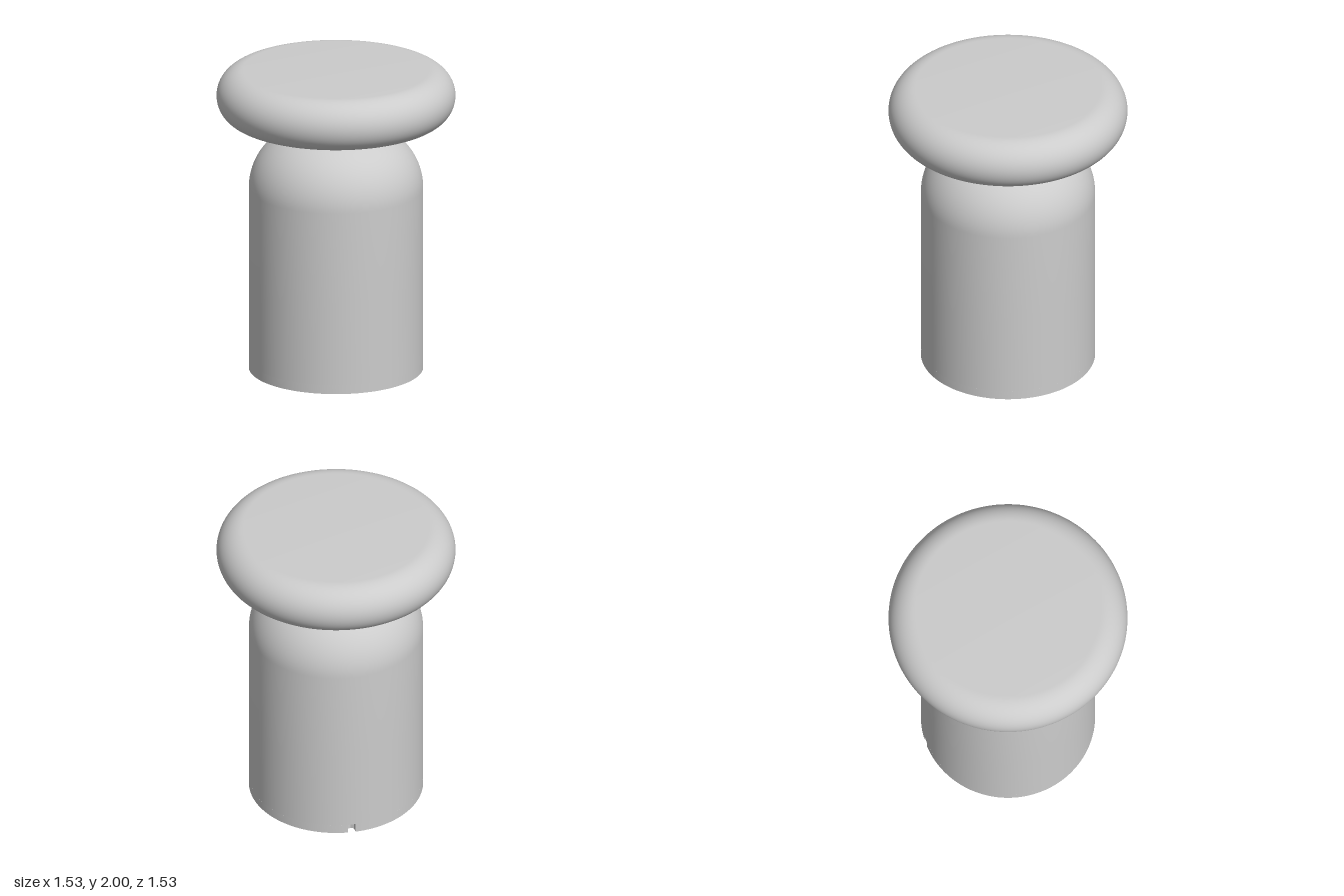
import * as THREE from 'three';
import { toCreasedNormals } from 'three/addons/utils/BufferGeometryUtils.js';

const SEGMENTS = 128;
const material = new THREE.MeshStandardMaterial({ color: 0xcccccc });

// Points along an elliptical arc in the (radius, height) plane.
function arc(cx, cy, rx, ry, from, to, steps) {
  return Array.from({ length: steps + 1 }, (_, i) => {
    const a = from + ((to - from) * i) / steps;
    return new THREE.Vector2(cx + rx * Math.cos(a), cy + ry * Math.sin(a));
  });
}

function part(name, geometry) {
  const mesh = new THREE.Mesh(toCreasedNormals(geometry, 0.5), material);
  mesh.name = name;
  return mesh;
}

const turned = (name, points) => part(name, new THREE.LatheGeometry(points, SEGMENTS));
const v = (x, y) => new THREE.Vector2(x, y);

export function createModel() {
  const group = new THREE.Group();
  group.name = 'tableLamp';

  const bodyRadius = 0.558;
  const footHeight = 0.06;

  // Foot band with a small cable notch at the back
  const notchAngle = THREE.MathUtils.degToRad(77.6);
  const halfGap = 0.045;
  const notchDepth = 0.05;
  const outline = new THREE.Shape();
  outline.absarc(0, 0, bodyRadius, notchAngle + halfGap, notchAngle - halfGap + Math.PI * 2, false);
  for (const side of [-1, 0, 1]) {
    const a = notchAngle + side * halfGap * 0.9;
    const r = bodyRadius - notchDepth * (side === 0 ? 1 : 0.75);
    outline.lineTo(r * Math.cos(a), r * Math.sin(a));
  }
  outline.closePath();
  const foot = new THREE.ExtrudeGeometry(outline, {
    depth: footHeight, bevelEnabled: false, curveSegments: SEGMENTS,
  });
  foot.rotateX(-Math.PI / 2);
  group.add(part('foot', foot));

  // Cylindrical body with a domed shoulder and a flat top
  group.add(turned('body', [
    v(0, footHeight),
    v(bodyRadius, footHeight),
    v(bodyRadius, 0.6),
    ...arc(0.158, 1.212, 0.4, 0.4, 0, Math.PI * 0.47, 24),
    v(0, 1.61),
  ]));

  // Short neck
  const neck = new THREE.CylinderGeometry(0.178, 0.178, 0.09, SEGMENTS);
  neck.translate(0, 1.635, 0);
  group.add(part('neck', neck));

  // Flat disc shade with a fully rounded rim
  group.add(turned('shade', [
    v(0, 1.667),
    ...arc(0.615, 1.83, 0.15, 0.163, -Math.PI / 2, 0, 16),
    ...arc(0.595, 1.83, 0.17, 0.17, 0, Math.PI / 2, 16).slice(1),
    v(0, 2),
  ]));

  return group;
}
